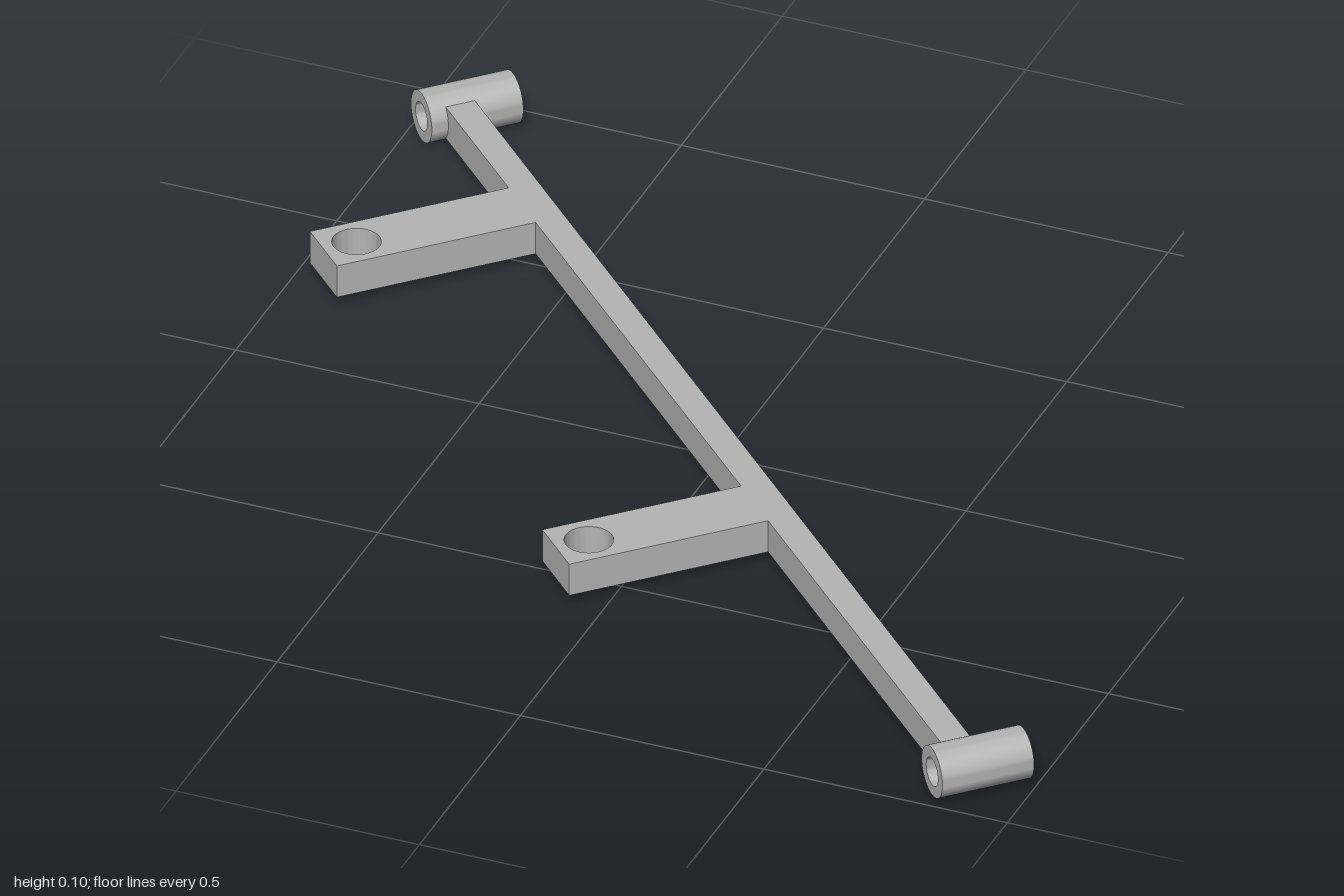
import * as THREE from 'three';
import { toCreasedNormals } from 'three/addons/utils/BufferGeometryUtils.js';

const MID_Y = 0.052;       // centre height of every part
const THICK = 0.07;        // thickness of bar and arms
const BAR_WIDTH = 0.06;
const BAR_HALF = 1.236;    // bar ends inside the sleeve walls
const SLEEVE_X = 1.268;

export function createModel() {
  const metal = new THREE.MeshStandardMaterial({ color: 0xb4b4b4 });
  metal.name = 'light grey metal';

  const model = new THREE.Group();
  model.name = 'bracket';

  // The frame lies along the diagonal: local x runs along the bar, local z along the arms
  const frame = new THREE.Group();
  frame.name = 'frame';
  frame.rotation.y = -Math.PI / 4;
  frame.position.y = MID_Y;
  model.add(frame);

  const add = (name, geometry) => {
    const mesh = new THREE.Mesh(geometry, metal);
    mesh.name = name;
    frame.add(mesh);
    return mesh;
  };

  // Long straight bar
  add('bar', new THREE.BoxGeometry(BAR_HALF * 2, THICK, BAR_WIDTH)).position.z = BAR_WIDTH / 2;

  // Two flat arms, each with a bolt hole near its end
  const half = 0.067, reach = 0.468;
  const outline = new THREE.Shape([
    new THREE.Vector2(-half, BAR_WIDTH),
    new THREE.Vector2(half, BAR_WIDTH),
    new THREE.Vector2(half, reach),
    new THREE.Vector2(-half, reach),
  ]);
  outline.holes.push(new THREE.Path().absarc(0, 0.4, 0.047, 0, Math.PI * 2, true));
  const armGeometry = toCreasedNormals(
    new THREE.ExtrudeGeometry(outline, { depth: THICK, bevelEnabled: false, curveSegments: 32 })
      .translate(0, 0, -THICK / 2)
      .rotateX(Math.PI / 2), 0.6);
  add('rearArm', armGeometry).position.x = -0.85;
  add('frontArm', armGeometry).position.x = 0.304;

  // Hollow sleeves across both ends of the bar
  const outer = 0.052, bore = 0.029, h = 0.094;
  const profile = [[bore, -h], [outer, -h], [outer, h], [bore, h], [bore, -h]]
    .map(([r, y]) => new THREE.Vector2(r, y));
  const sleeveGeometry = toCreasedNormals(
    new THREE.LatheGeometry(profile, 40).rotateX(Math.PI / 2), 0.6);
  add('rearSleeve', sleeveGeometry).position.x = -SLEEVE_X;
  add('frontSleeve', sleeveGeometry).position.x = SLEEVE_X;

  return model;
}
